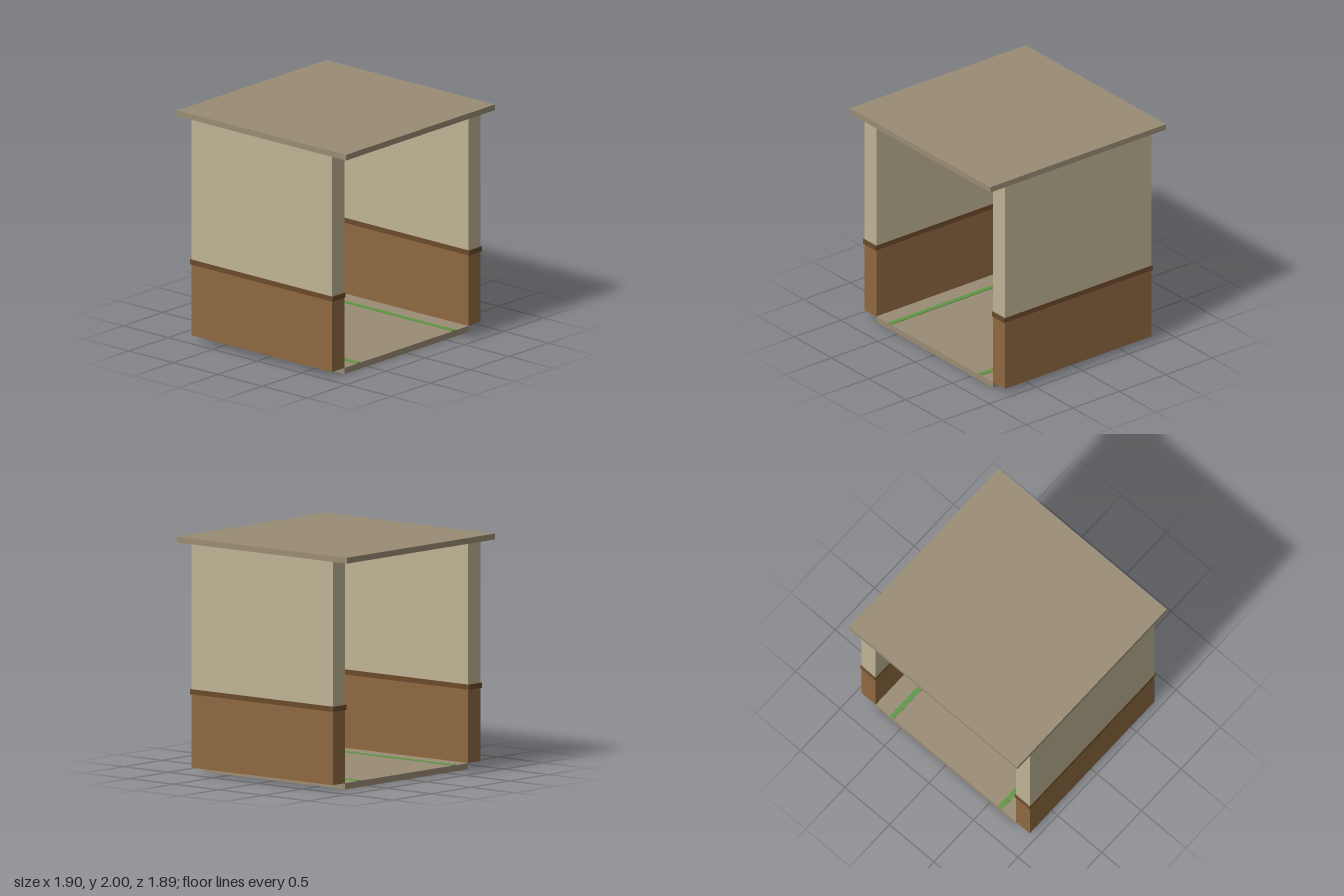
import * as THREE from 'three';

const material = (name, color) => {
  const m = new THREE.MeshStandardMaterial({ color });
  m.name = name;
  return m;
};

export function createModel() {
  const stone = material('taupe slab', 0x9a8c74);
  const plaster = material('cream plaster', 0xbfb394);
  const wood = material('brown panelling', 0x8e6840);
  const darkWood = material('dark wood trim', 0x6b4a2b);
  const green = material('green stripe', 0x5f9545);
  const metal = material('dark lamp frame', 0x34434c);
  const glass = material('pale lamp panel', 0xc4c2ae);

  const model = new THREE.Group();
  model.name = 'corridorSection';

  // Box spanning y0..y1, centred on x and z = 0
  const addBox = (name, mat, width, depth, y0, y1, x = 0) => {
    const mesh = new THREE.Mesh(new THREE.BoxGeometry(width, y1 - y0, depth), mat);
    mesh.name = name;
    mesh.position.set(x, (y0 + y1) / 2, 0);
    model.add(mesh);
  };

  // Floor and ceiling slabs
  addBox('floor', stone, 1.576, 1.576, 0, 0.053);
  addBox('ceiling', stone, 1.892, 1.892, 1.95, 2);

  // Walls with wainscot and rail, plus floor stripes, on both sides
  for (const [side, s] of [['left', 1], ['right', -1]]) {
    addBox(side + 'Wainscot', wood, 0.158, 1.576, 0.053, 0.68, s * 0.867);
    addBox(side + 'UpperWall', plaster, 0.158, 1.576, 0.68, 1.95, s * 0.867);
    addBox(side + 'Rail', darkWood, 0.168, 1.6, 0.677, 0.72, s * 0.867);
    addBox(side + 'FloorStripe', green, 0.044, 1.57, 0.053, 0.058, s * 0.608);
  }

  // Square ceiling lamp
  addBox('lampFrame', metal, 0.52, 0.52, 1.92, 1.95);
  addBox('lampPanel', glass, 0.45, 0.45, 1.911, 1.92);

  return model;
}
